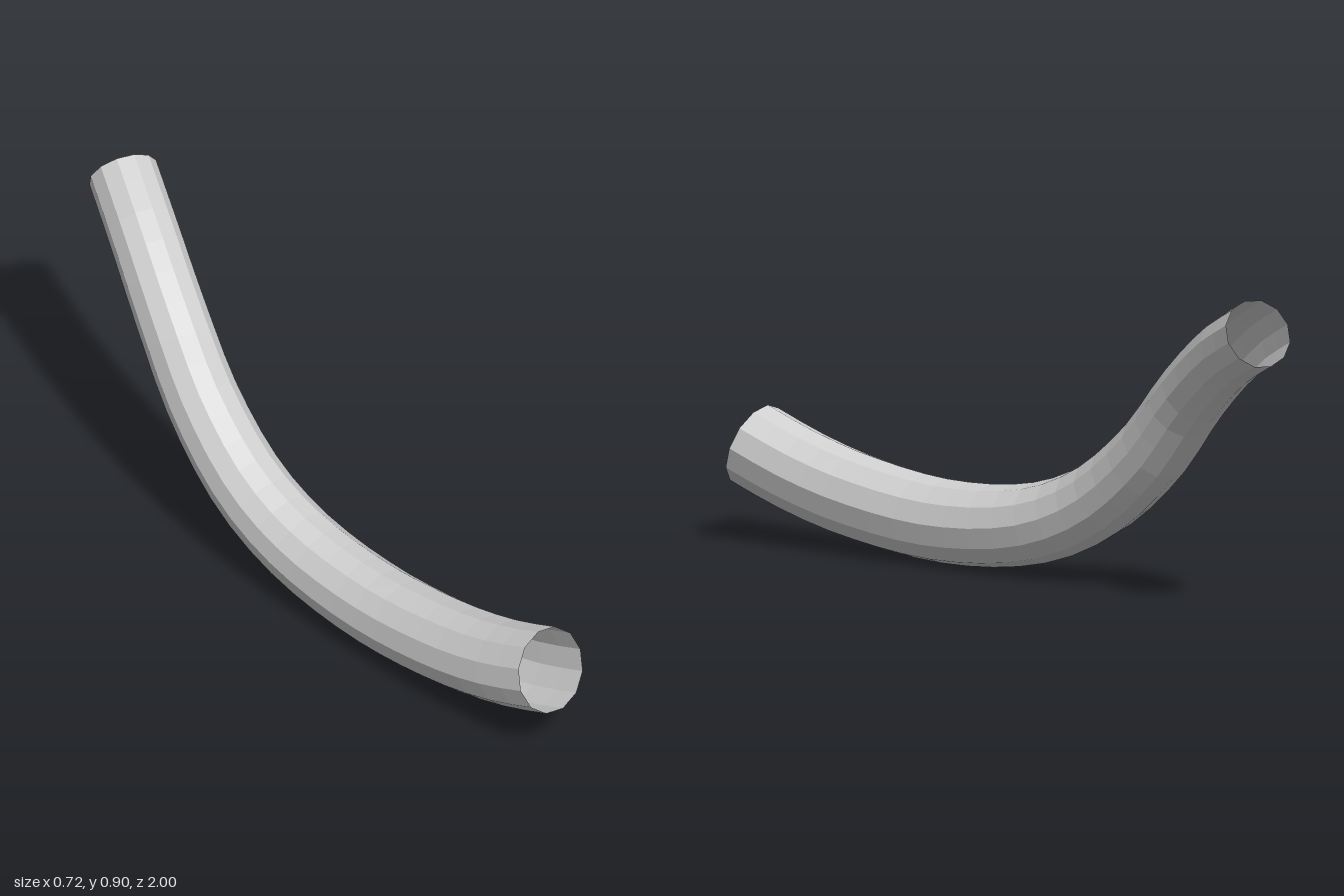
import * as THREE from 'three';

const SIDES = 12;
const SEGMENTS = 26;

export function createModel() {
  const group = new THREE.Group();
  group.name = 'bentPipe';
  const grey = new THREE.MeshStandardMaterial({ color: 0xcfcfcf, flatShading: true, side: THREE.DoubleSide });
  grey.name = 'light grey';

  // Centre line, from the raised back end to the front end
  const path = new THREE.CatmullRomCurve3([
    [-0.253, 0.818, -0.957],
    [-0.264, 0.735, -0.78],
    [-0.264, 0.588, -0.58],
    [-0.24, 0.4, -0.4],
    [-0.19, 0.242, -0.2],
    [-0.119, 0.153, 0],
    [-0.01, 0.12, 0.29],
    [0.107, 0.156, 0.6],
    [0.186, 0.21, 0.8],
    [0.247, 0.267, 0.94],
  ].map((p) => new THREE.Vector3(...p)));

  // Open tube of twelve sides, widening towards the front
  const frames = path.computeFrenetFrames(SEGMENTS);
  const positions = [];
  const index = [];
  for (let i = 0; i <= SEGMENTS; i++) {
    const t = i / SEGMENTS;
    const centre = path.getPointAt(t);
    const radius = 0.099 + 0.023 * THREE.MathUtils.smoothstep(t, 0, 0.9);
    for (let j = 0; j < SIDES; j++) {
      const a = (j / SIDES) * Math.PI * 2 - 0.17;
      const p = centre.clone()
        .addScaledVector(frames.normals[i], radius * Math.cos(a))
        .addScaledVector(frames.binormals[i], radius * Math.sin(a));
      positions.push(p.x, p.y, p.z);
      if (i < SEGMENTS) {
        const k = (j + 1) % SIDES;
        const [p0, p1, q0, q1] = [i * SIDES + j, i * SIDES + k, (i + 1) * SIDES + j, (i + 1) * SIDES + k];
        index.push(p0, p1, q0, p1, q1, q0);
      }
    }
  }
  const geometry = new THREE.BufferGeometry();
  geometry.setAttribute('position', new THREE.Float32BufferAttribute(positions, 3));
  geometry.setIndex(index);
  geometry.computeVertexNormals();

  const pipe = new THREE.Mesh(geometry, grey);
  pipe.name = 'pipe';
  group.add(pipe);
  return group;
}
